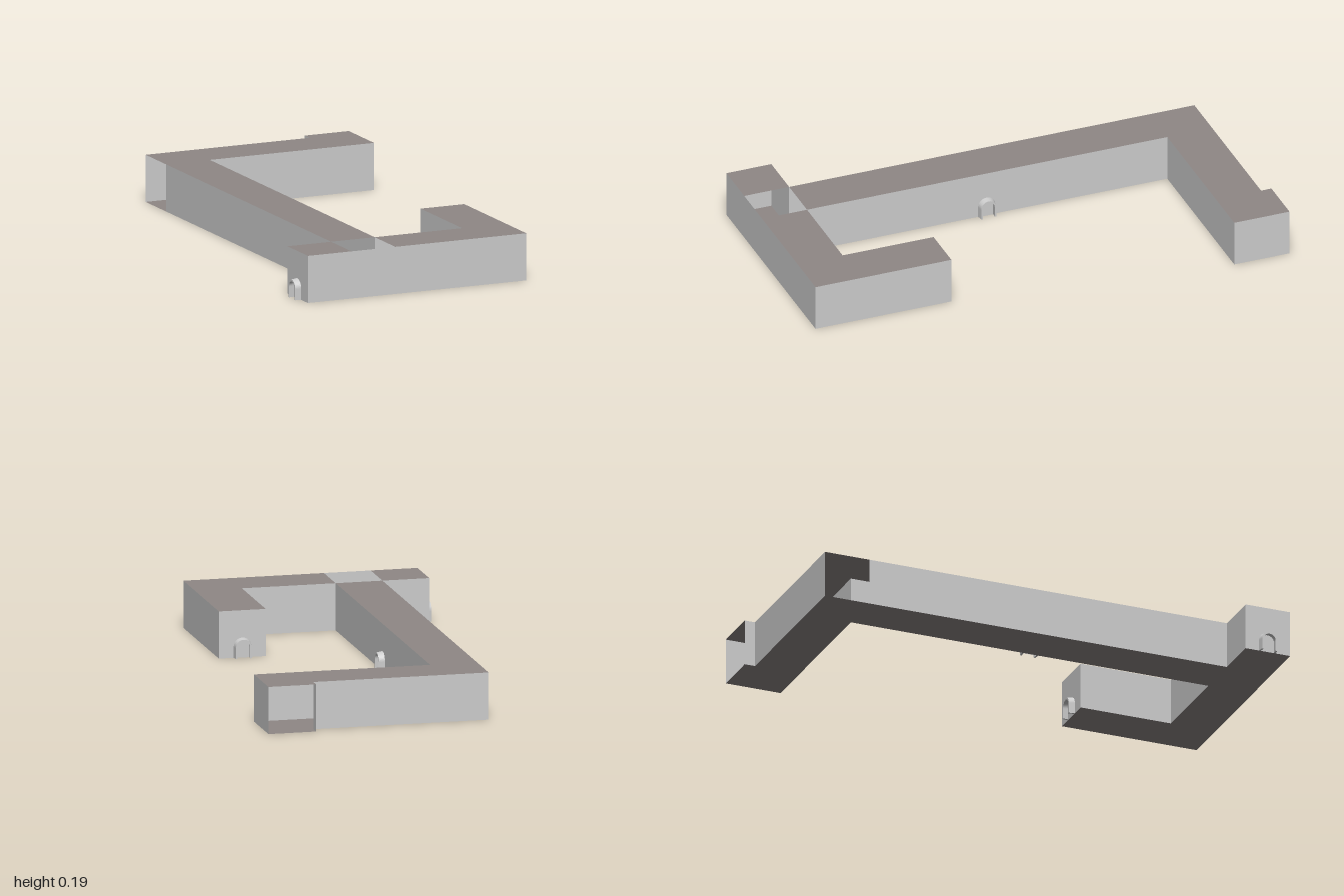
import * as THREE from 'three';

const H = 0.195; // corridor height

export function createModel() {
  const group = new THREE.Group();
  const wallMat = new THREE.MeshStandardMaterial({ color: 0xcccccc, side: THREE.DoubleSide });
  wallMat.name = 'wall grey';
  const slabMat = new THREE.MeshStandardMaterial({ color: 0x8f8886, side: THREE.DoubleSide });
  slabMat.name = 'floor brown grey';

  const add = (name, geometry, material) => {
    const mesh = new THREE.Mesh(geometry, material);
    mesh.name = name;
    group.add(mesh);
    return mesh;
  };

  // Flat horizontal sheet from [x, z] corners
  const sheet = (name, points, y) => {
    const shape = new THREE.Shape(points.map(([x, z]) => new THREE.Vector2(x, -z)));
    const geometry = new THREE.ShapeGeometry(shape);
    geometry.rotateX(-Math.PI / 2);
    add(name, geometry, slabMat).position.y = y;
  };

  // Upright wall sheet between two [x, z] corners
  const wall = ([x0, z0], [x1, z1]) => {
    const geometry = new THREE.PlaneGeometry(Math.hypot(x1 - x0, z1 - z0), H);
    const mesh = add('wall', geometry, wallMat);
    mesh.position.set((x0 + x1) / 2, H / 2, (z0 + z1) / 2);
    mesh.rotation.y = Math.atan2(z0 - z1, x1 - x0);
  };

  // Plan of the corridors, counter-clockwise from above
  const outline = [
    [-0.55, 1], [0.425, 1], [0.425, 0.41], [0.23, 0.41], [0.23, 0.805], [-0.16, 0.805],
    [-0.16, -0.76], [0.573, -0.76], [0.573, -1], [0.375, -1], [0.375, -0.955],
    [-0.355, -0.955], [-0.355, -0.76], [-0.355, 0.805], [-0.55, 0.805],
  ];
  const openSides = [8, 11]; // far end and back corner have no wall
  outline.forEach((p, i) => {
    if (!openSides.includes(i)) wall(p, outline[(i + 1) % outline.length]);
  });
  sheet('floor', outline, 0);

  // Roof in three pieces, leaving the junction open
  sheet('endRoof', [[-0.55, 1], [-0.355, 1], [-0.355, 0.805], [-0.55, 0.805]], H);
  sheet('frontRoof', [[-0.16, 1], ...outline.slice(1, 6)], H);
  sheet('longRoof', outline.slice(5, 14), H);

  // Arched door surround, slightly flared towards the wall
  const arch = (path, r, h) => {
    path.moveTo(-r, 0);
    path.lineTo(r, 0);
    path.lineTo(r, h - r);
    path.absarc(0, h - r, r, 0, Math.PI, false);
    path.lineTo(-r, 0);
    return path;
  };
  const frame = new THREE.Shape();
  frame.moveTo(0.026, 0);
  frame.lineTo(0.033, 0);
  frame.lineTo(0.033, 0.045);
  frame.absarc(0, 0.045, 0.033, 0, Math.PI, false);
  frame.lineTo(-0.033, 0);
  frame.lineTo(-0.026, 0);
  frame.lineTo(-0.026, 0.045);
  frame.absarc(0, 0.045, 0.026, Math.PI, 0, true);
  frame.lineTo(0.026, 0);
  const frameGeo = new THREE.ExtrudeGeometry(frame, { depth: 0.025, bevelEnabled: false, curveSegments: 10 });
  const pos = frameGeo.attributes.position;
  for (let i = 0; i < pos.count; i++) {
    if (pos.getZ(i) < 0.001) pos.setXY(i, pos.getX(i) * 1.1, pos.getY(i) * 1.05);
  }
  frameGeo.computeVertexNormals();
  const panelGeo = new THREE.ShapeGeometry(arch(new THREE.Shape(), 0.027, 0.072), 10);

  // Doors: x, z, turn about y
  for (const [x, z, turn] of [
    [-0.16, 0.025, Math.PI / 2],
    [0.327, 0.41, Math.PI],
    [-0.55, 0.9, -Math.PI / 2],
  ]) {
    const door = new THREE.Group();
    door.name = 'door';
    const surround = new THREE.Mesh(frameGeo, wallMat);
    surround.name = 'doorFrame';
    const panel = new THREE.Mesh(panelGeo, wallMat);
    panel.name = 'doorPanel';
    panel.position.z = 0.003;
    door.add(surround, panel);
    door.position.set(x, 0, z);
    door.rotation.y = turn;
    group.add(door);
  }
  return group;
}
